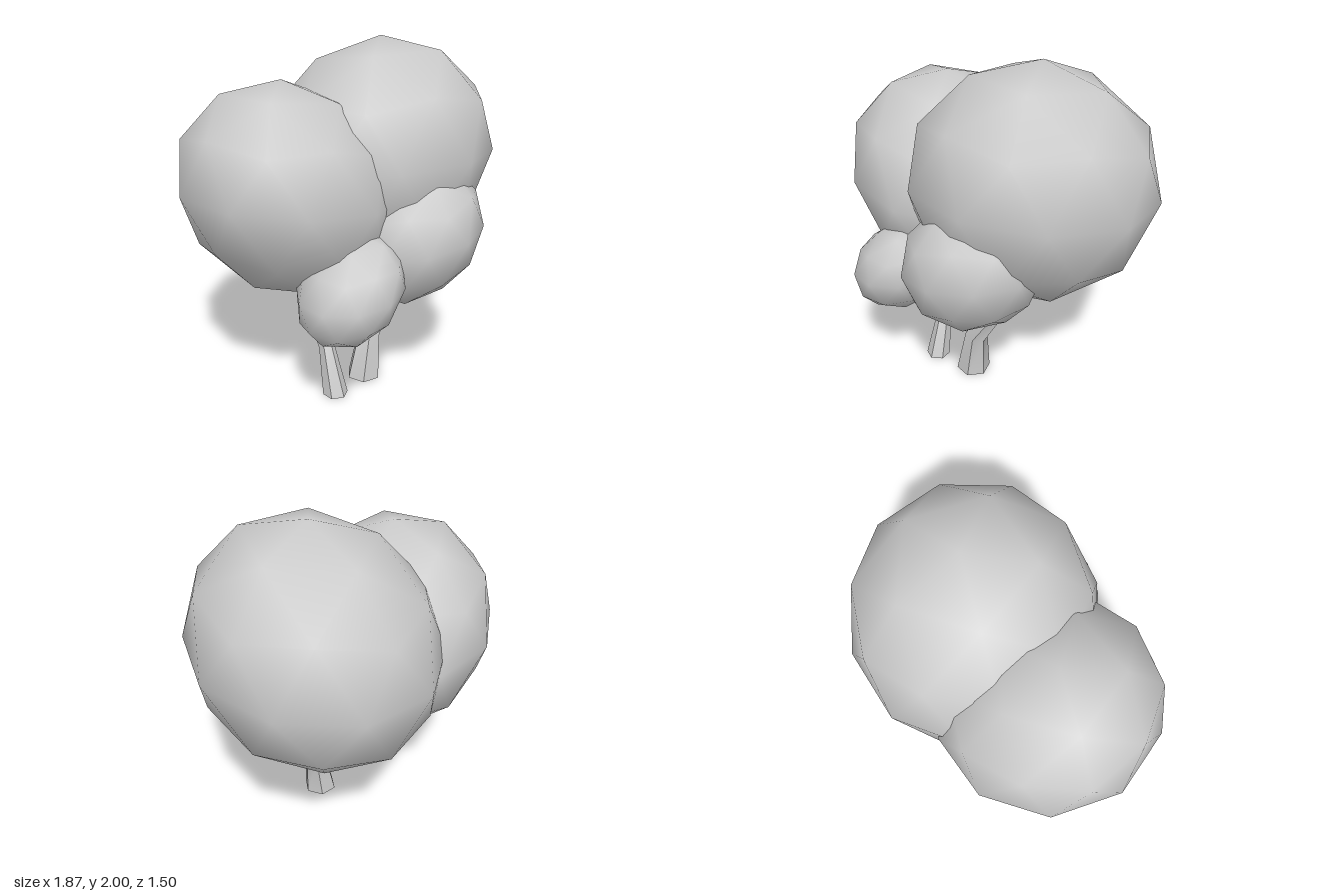
import * as THREE from 'three';
import { toCreasedNormals } from 'three/addons/utils/BufferGeometryUtils.js';

const UP = new THREE.Vector3(0, 1, 0);
const rad = THREE.MathUtils.degToRad;

// Faceted limb: rings of `sides` corners along points [x, y, z, radius]
function limb(name, points, sides, turn) {
  const centres = points.map(p => new THREE.Vector3(p[0], p[1], p[2]));
  const last = centres.length - 1;
  const positions = [], index = [];
  centres.forEach((c, i) => {
    const dir = centres[Math.min(i + 1, last)].clone().sub(centres[Math.max(i - 1, 0)]).normalize();
    // A limb that starts on the ground is cut level there
    if (i === 0 && c.y === 0) dir.copy(UP);
    const q = new THREE.Quaternion().setFromUnitVectors(UP, dir);
    for (let s = 0; s < sides; s++) {
      const a = rad(turn) + s / sides * Math.PI * 2;
      const v = new THREE.Vector3(Math.cos(a), 0, Math.sin(a))
        .multiplyScalar(points[i][3]).applyQuaternion(q).add(c);
      positions.push(v.x, v.y, v.z);
    }
  });
  // Sides
  for (let i = 0; i < last; i++) {
    for (let s = 0; s < sides; s++) {
      const a = i * sides + s, b = i * sides + (s + 1) % sides;
      index.push(a, a + sides, b, b, a + sides, b + sides);
    }
  }
  // End caps
  for (let s = 1; s < sides - 1; s++) {
    const t = last * sides;
    index.push(0, s, s + 1, t, t + s + 1, t + s);
  }
  const geometry = new THREE.BufferGeometry();
  geometry.setAttribute('position', new THREE.Float32BufferAttribute(positions, 3));
  geometry.setIndex(index);
  // Bends are smooth, the long edges stay sharp
  const mesh = new THREE.Mesh(toCreasedNormals(geometry, rad(48)), new THREE.MeshStandardMaterial({ color: 0xcccccc }));
  mesh.name = name;
  return mesh;
}

// Smooth low-poly foliage ball: one corner on top, spun, leaned towards +x and back towards -z,
// then sized; xy and yz lengthen it along the diagonals of those planes
function foliage(name, [x, y, z], { size: [sx, sy, sz], xy = 0, yz = 0, spin = 0, lean = 0, back = 0 }) {
  const geometry = new THREE.IcosahedronGeometry(1, 1);
  geometry.rotateZ(Math.atan2(1, (1 + Math.sqrt(5)) / 2));
  geometry.rotateY(rad(spin));
  geometry.rotateZ(rad(-lean));
  geometry.rotateX(rad(-back));
  geometry.applyMatrix4(new THREE.Matrix4().set(
    sx, xy, 0, 0,
    xy, sy, yz, 0,
    0, yz, sz, 0,
    0, 0, 0, 1,
  ));
  const mesh = new THREE.Mesh(geometry, new THREE.MeshStandardMaterial({ color: 0xcccccc }));
  mesh.position.set(x, y, z);
  mesh.name = name;
  return mesh;
}

export function createModel() {
  const tree = new THREE.Group();
  tree.name = 'trees';

  // Crowns
  tree.add(
    foliage('largeFoliage', [0.26, 1.303, -0.05],
      { size: [0.7, 0.697, 0.695], xy: 0.02, yz: 0.04, spin: 182, lean: 2, back: 3 }),
    foliage('sideFoliage', [-0.33, 1.195, -0.125],
      { size: [0.622, 0.615, 0.622], xy: -0.05, spin: 185, lean: 1 }),
    foliage('frontFoliage', [0.155, 0.945, 0.355],
      { size: [0.4, 0.4, 0.395], xy: 0.03, yz: 0.025, lean: -4, back: 2 }),
    foliage('smallFoliage', [-0.345, 0.77, 0.37],
      { size: [0.295, 0.29, 0.29], xy: 0.045, spin: 180, lean: 2 }),
  );

  // Thick trunk leaning outwards, with a branch reaching across
  tree.add(
    limb('mainTrunk', [
      [-0.01, 0, 0.145, 0.103], [0.025, 0.28, 0.155, 0.07],
      [0.2, 0.55, 0.155, 0.048], [0.25, 0.63, 0.15, 0.045],
    ], 6, 15),
    limb('mainBranch', [
      [0.12, 0.44, 0.155, 0.03], [0, 0.52, 0.14, 0.029],
      [-0.13, 0.62, 0.09, 0.026], [-0.2, 0.75, 0, 0.02],
    ], 5, 20),
  );

  // Thin trunk leaning backwards, with a branch to the small crown
  tree.add(
    limb('thinTrunk', [
      [-0.275, 0, 0.175, 0.073], [-0.272, 0.28, 0.1, 0.046],
      [-0.275, 0.41, 0.025, 0.036], [-0.295, 0.68, -0.065, 0.028],
    ], 6, 30),
    limb('thinBranch', [
      [-0.27, 0.36, 0.07, 0.027], [-0.275, 0.415, 0.19, 0.026], [-0.3, 0.56, 0.35, 0.022],
    ], 5, 20),
  );
  return tree;
}
